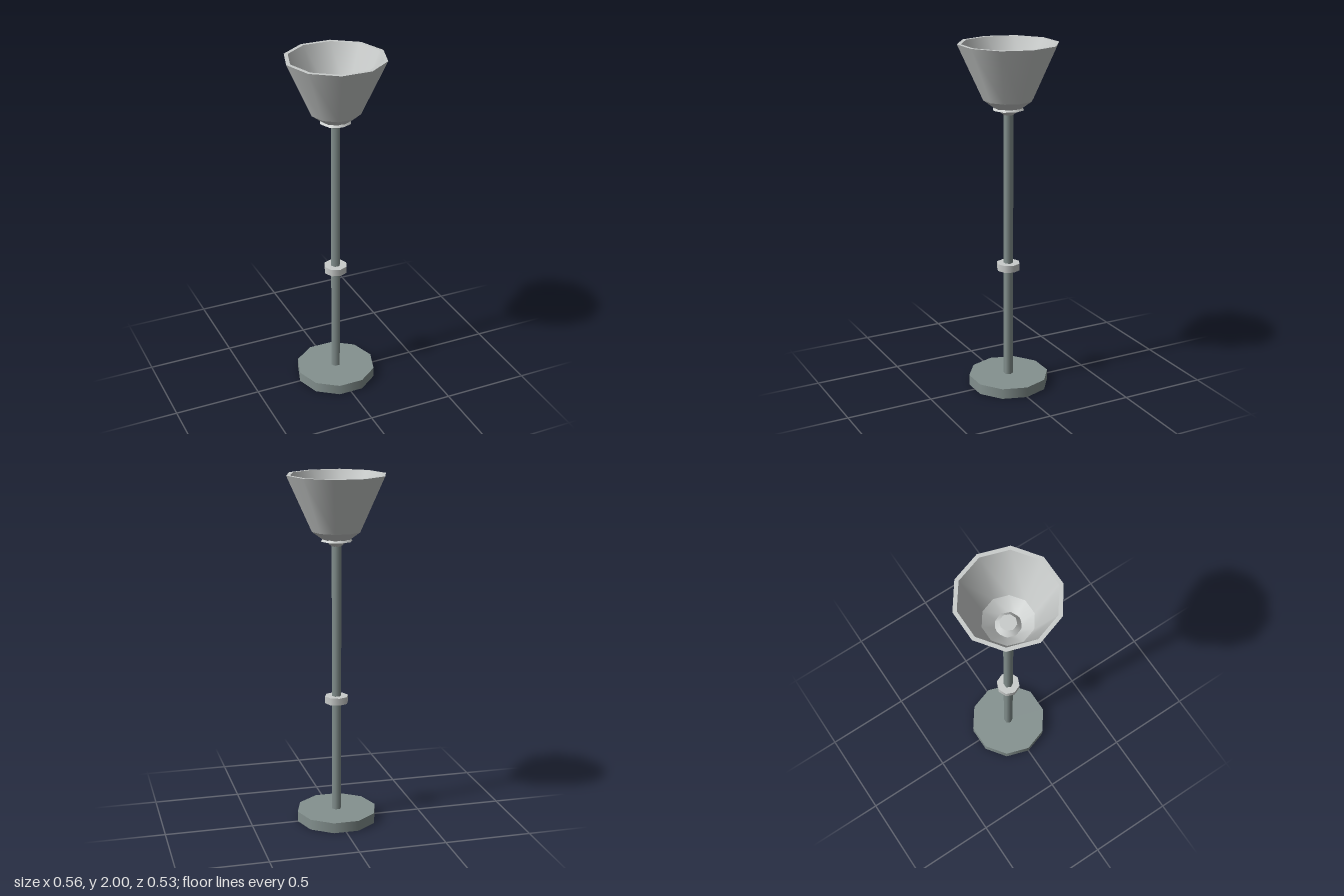
import * as THREE from 'three';
import { mergeGeometries } from 'three/addons/utils/BufferGeometryUtils.js';

export function createModel() {
  const lamp = new THREE.Group();
  lamp.name = 'floorLamp';

  const lightGrey = new THREE.MeshStandardMaterial({ color: 0xc9cccb });
  lightGrey.name = 'lightGrey';
  const slateGrey = new THREE.MeshStandardMaterial({ color: 0x84918f });
  slateGrey.name = 'slateGrey';

  const add = (name, geometry, material) => {
    const mesh = new THREE.Mesh(geometry, material);
    mesh.name = name;
    lamp.add(mesh);
  };

  // Upright prism with a corner on the +x axis
  const prism = (radius, bottom, top, sides) =>
    new THREE.CylinderGeometry(radius, radius, top - bottom, sides)
      .rotateY(Math.PI / 2)
      .translate(0, (top + bottom) / 2, 0);

  // Turned shape: smooth around, with a hard edge at each profile point
  const turned = (profile, sides) => {
    const bands = [];
    for (let i = 0; i < profile.length - 1; i++) {
      const pair = [profile[i], profile[i + 1]].map(([r, y]) => new THREE.Vector2(r, y));
      bands.push(new THREE.LatheGeometry(pair, sides).rotateY(Math.PI / 2));
    }
    return mergeGeometries(bands);
  };

  // Foot and pole
  add('base', prism(0.232, 0, 0.06, 10), slateGrey);
  add('pole', prism(0.0275, 0.06, 1.62, 6), slateGrey);

  // Small collar on the pole
  add('collar', prism(0.067, 0.705, 0.746, 8), lightGrey);

  // Socket flaring out under the shade and tapering inside it
  add('socket', turned([
    [0, 1.606], [0.027, 1.606], [0.06, 1.632], [0.09, 1.635], [0.047, 1.685], [0, 1.685],
  ], 8), lightGrey);

  // Thick-walled shade, open at the top: up the outside, down the inside
  add('shade', turned([
    [0, 1.643], [0.075, 1.643], [0.139, 1.69], [0.28, 2], [0.258, 2], [0.14, 1.715], [0.07, 1.655], [0, 1.655],
  ], 10), lightGrey);

  return lamp;
}
